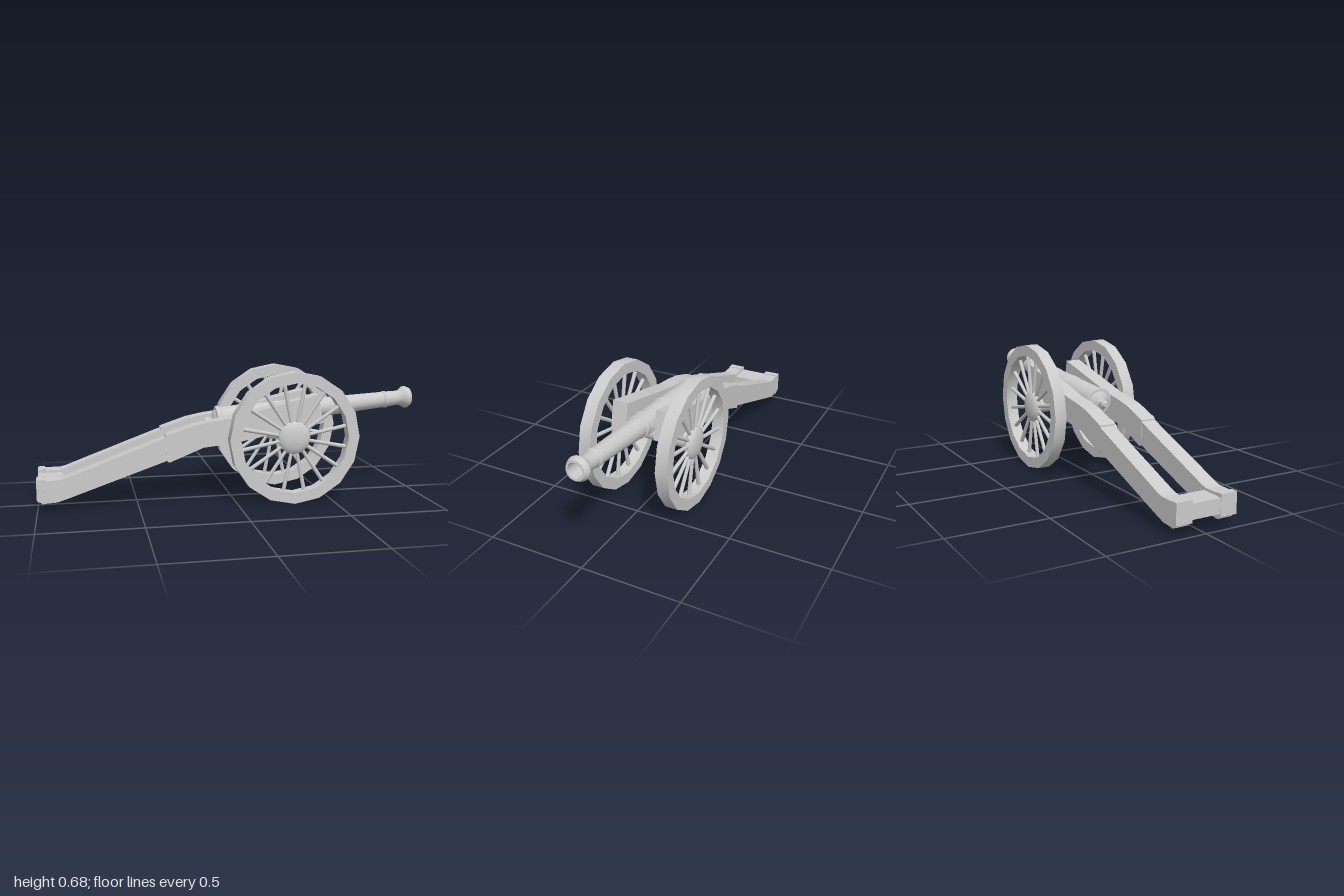
import * as THREE from 'three';
import { toCreasedNormals } from 'three/addons/utils/BufferGeometryUtils.js';

const material = new THREE.MeshStandardMaterial({ color: 0xcccccc });

function part(name, geometry, x = 0, y = 0, z = 0) {
  const mesh = new THREE.Mesh(geometry, material);
  mesh.name = name;
  mesh.position.set(x, y, z);
  return mesh;
}

function lathe(points, segments) {
  const profile = points.map(([r, y]) => new THREE.Vector2(r, y));
  return toCreasedNormals(new THREE.LatheGeometry(profile, segments), 0.6);
}

// Side outline in x/y, extruded across z and centred on z = 0
function plank(points, width) {
  const shape = new THREE.Shape(points.map(([x, y]) => new THREE.Vector2(x, y)));
  const geometry = new THREE.ExtrudeGeometry(shape, { depth: width, bevelEnabled: false });
  return geometry.translate(0, 0, -width / 2);
}

const WHEEL = { x: 0.29, y: 0.339, z: 0.207, radius: 0.339, inner: 0.282, half: 0.032, sides: 16 };

function createWheel(side) {
  const wheel = new THREE.Group();
  wheel.name = side > 0 ? 'leftWheel' : 'rightWheel';
  const { radius, inner, half, sides } = WHEEL;

  const rim = lathe([[inner, -half], [radius, -half], [radius, half], [inner, half], [inner, -half]], sides);
  wheel.add(part('rim', rim.rotateX(Math.PI / 2)));

  // Flattened dome hub
  const hub = new THREE.SphereGeometry(0.085, 24, 12).rotateX(Math.PI / 2).scale(1, 1, 0.36);
  wheel.add(part('hub', hub));

  // Spokes meet the middle of each rim facet
  const spoke = new THREE.CylinderGeometry(0.011, 0.009, 0.23, 8);
  for (let i = 0; i < sides; i++) {
    const angle = ((i + 0.5) / sides) * Math.PI * 2;
    const mesh = part('spoke', spoke, Math.cos(angle) * 0.172, Math.sin(angle) * 0.172, 0);
    mesh.rotation.z = angle - Math.PI / 2;
    wheel.add(mesh);
  }
  wheel.position.set(WHEEL.x, WHEEL.y, WHEEL.z * side);
  return wheel;
}

function createBarrel() {
  // Radius and distance along the bore axis, from knob to muzzle and back down the bore
  const profile = [
    [0, -0.148], [0.013, -0.145], [0.02, -0.132], [0.018, -0.117], [0.013, -0.108],
    [0.018, -0.1], [0.045, -0.09], [0.055, -0.08],
    [0.07, -0.078], [0.073, -0.068], [0.07, -0.057], [0.063, -0.053], [0.065, -0.03],
    [0.062, 0.215], [0.065, 0.218], [0.065, 0.232], [0.062, 0.235],
    [0.057, 0.415], [0.061, 0.418], [0.061, 0.432], [0.056, 0.435],
    [0.056, 0.462], [0.059, 0.465], [0.059, 0.475], [0.052, 0.478],
    [0.042, 0.845], [0.046, 0.849], [0.046, 0.861], [0.042, 0.865],
    [0.039, 0.93], [0.044, 0.945], [0.057, 0.962], [0.06, 0.972], [0.058, 0.98],
    [0.048, 0.999], [0.038, 0.999], [0.036, 0.5], [0, 0.5],
  ];
  const barrel = part('barrel', lathe(profile, 20), 0, 0.419, 0);
  barrel.rotation.z = -Math.PI / 2 + 0.0874;
  return barrel;
}

function createCheek(side) {
  const cheek = new THREE.Group();
  cheek.name = side > 0 ? 'leftCheek' : 'rightCheek';
  // Front beam that carries the axle
  cheek.add(part('frontBeam', plank([
    [-0.36, 0.24], [-0.345, 0.226], [-0.17, 0.296], [-0.02, 0.312], [0.46, 0.403],
    [0.43, 0.55], [-0.03, 0.441], [-0.13, 0.428], [-0.22, 0.41], [-0.345, 0.368], [-0.36, 0.361],
  ], 0.082)));
  // Sloping trail
  cheek.add(part('trailBeam', plank([
    [-0.975, 0.045], [-0.9, 0.05], [-0.85, 0.066], [-0.35, 0.238],
    [-0.35, 0.357], [-0.86, 0.168], [-0.89, 0.161], [-0.975, 0.161],
  ], 0.08)));
  // End cap, slightly proud of the trail
  cheek.add(part('trailCap', plank([
    [-1, 0.062], [-0.965, 0.043], [-0.965, 0.166], [-1, 0.166],
  ], 0.086)));
  cheek.position.z = 0.118 * side;
  return cheek;
}

export function createModel() {
  const model = new THREE.Group();
  model.name = 'fieldCannon';

  for (const side of [1, -1]) model.add(createWheel(side), createCheek(side));

  const axle = new THREE.CylinderGeometry(0.041, 0.041, 0.38, 20).rotateX(Math.PI / 2);
  model.add(part('axle', axle, WHEEL.x, 0.343, 0));

  // Block joining the trail ends
  model.add(part('crosspiece', new THREE.BoxGeometry(0.125, 0.073, 0.158), -0.9355, 0.112, 0));

  model.add(createBarrel());
  return model;
}
